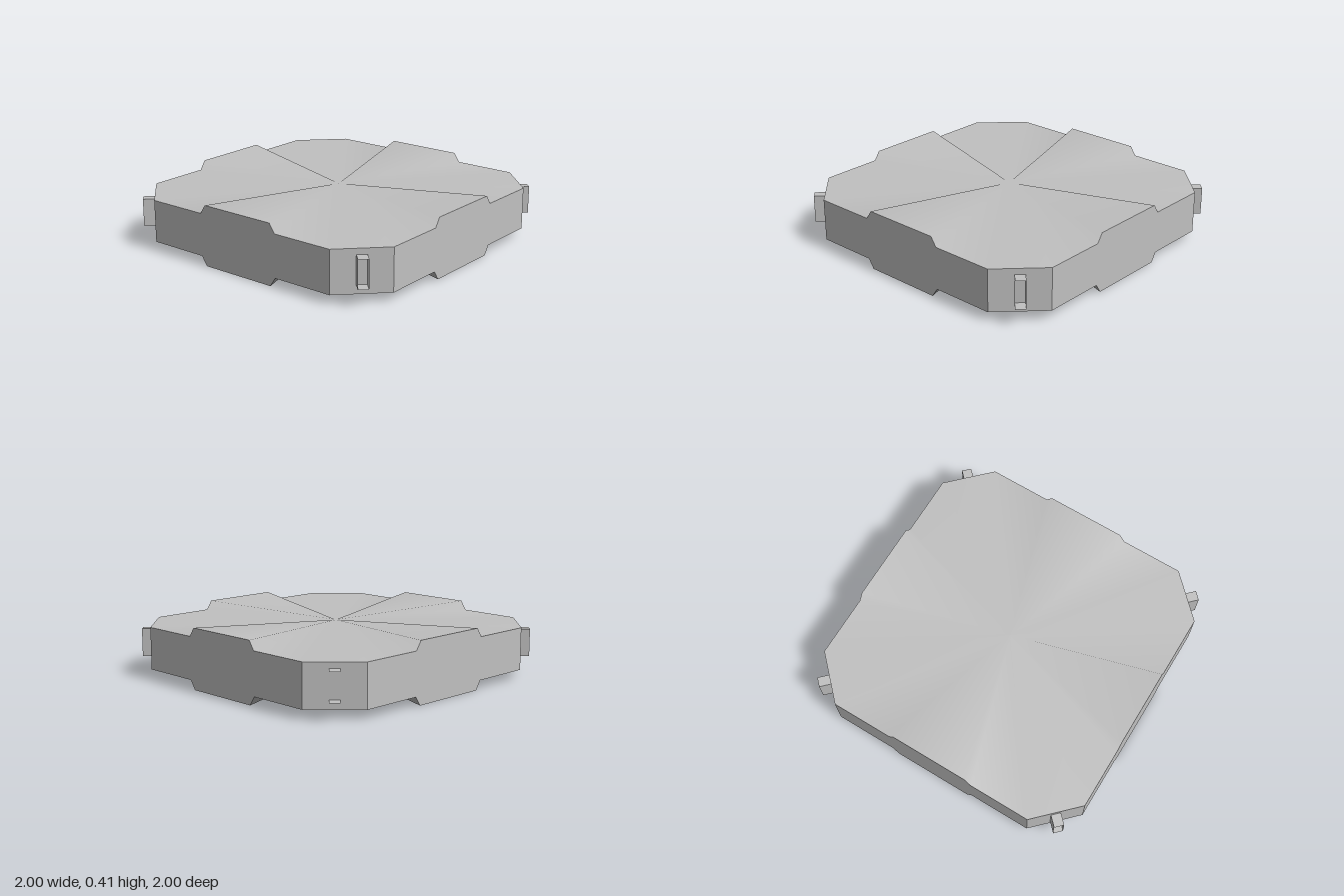
import * as THREE from 'three';

const MID = 0.2025;        // height of the middle plane
const CENTRE_HALF = 0.16;  // half thickness at the centre
const CHAMFER = 0.733;     // where the corner cuts begin

// One side of the rim, seen from outside: [position along side, half thickness]
const SIDE = [
  [-CHAMFER, 0.1425], [-0.31, 0.1425], [-0.27, 0.2025],
  [0.27, 0.2025], [0.31, 0.1425], [CHAMFER, 0.1425],
];

// Full rim: the side repeated by quarter turns, counter-clockwise from above
function rimPoints() {
  const rim = [];
  for (let k = 0; k < 4; k++) {
    for (const [s, half] of SIDE) {
      let x = s, z = 1;
      for (let i = 0; i < k; i++) [x, z] = [z, -x];
      rim.push({ x, z, half });
    }
  }
  return rim;
}

function geometryFrom(positions, indices) {
  const g = new THREE.BufferGeometry();
  g.setAttribute('position', new THREE.Float32BufferAttribute(positions, 3));
  g.setIndex(indices);
  g.computeVertexNormals();
  return g;
}

// Smooth fan from the centre to the rim; sign +1 is the top, -1 the underside
function fan(rim, sign) {
  const pos = [0, MID + sign * CENTRE_HALF, 0], idx = [];
  rim.forEach((p, i) => {
    pos.push(p.x, MID + sign * p.half, p.z);
    const a = i + 1, b = ((i + 1) % rim.length) + 1;
    if (sign > 0) idx.push(0, a, b);
    else idx.push(0, b, a);
  });
  return geometryFrom(pos, idx);
}

// Upright walls, one flat quad for each rim segment
function walls(rim) {
  const pos = [], idx = [];
  rim.forEach((p, i) => {
    const q = rim[(i + 1) % rim.length], n = i * 4;
    pos.push(p.x, MID - p.half, p.z, q.x, MID - q.half, q.z,
      q.x, MID + q.half, q.z, p.x, MID + p.half, p.z);
    idx.push(n, n + 1, n + 2, n, n + 2, n + 3);
  });
  return geometryFrom(pos, idx);
}

export function createModel() {
  const grey = new THREE.MeshStandardMaterial({ color: 0xc0c0c0, side: THREE.DoubleSide });
  grey.name = 'light grey';
  const model = new THREE.Group();
  model.name = 'octagonalPlate';

  const add = (parent, name, geometry) => {
    const mesh = new THREE.Mesh(geometry, grey);
    mesh.name = name;
    parent.add(mesh);
    return mesh;
  };

  // Plate body
  const rim = rimPoints();
  add(model, 'topSurface', fan(rim, 1));
  add(model, 'underside', fan(rim, -1));
  add(model, 'rimWalls', walls(rim));

  // Open-ended rectangular sockets on the four cut corners
  const inner = 1.2255, outer = 1.308, width = 0.066, height = 0.187, y = 0.212;
  const length = outer - inner, reach = (outer + inner) / 2;
  for (let k = 0; k < 4; k++) {
    const socket = new THREE.Group();
    socket.name = 'cornerSocket';
    socket.rotation.y = Math.PI / 4 + k * Math.PI / 2;
    for (const s of [-1, 1]) {
      const cheek = add(socket, 'socketSide', new THREE.PlaneGeometry(length, height));
      cheek.rotation.y = s * Math.PI / 2;
      cheek.position.set(s * width / 2, y, reach);
      const lid = add(socket, s > 0 ? 'socketTop' : 'socketBottom', new THREE.PlaneGeometry(width, length));
      lid.rotation.x = -s * Math.PI / 2;
      lid.position.set(0, y + s * height / 2, reach);
    }
    model.add(socket);
  }
  return model;
}
